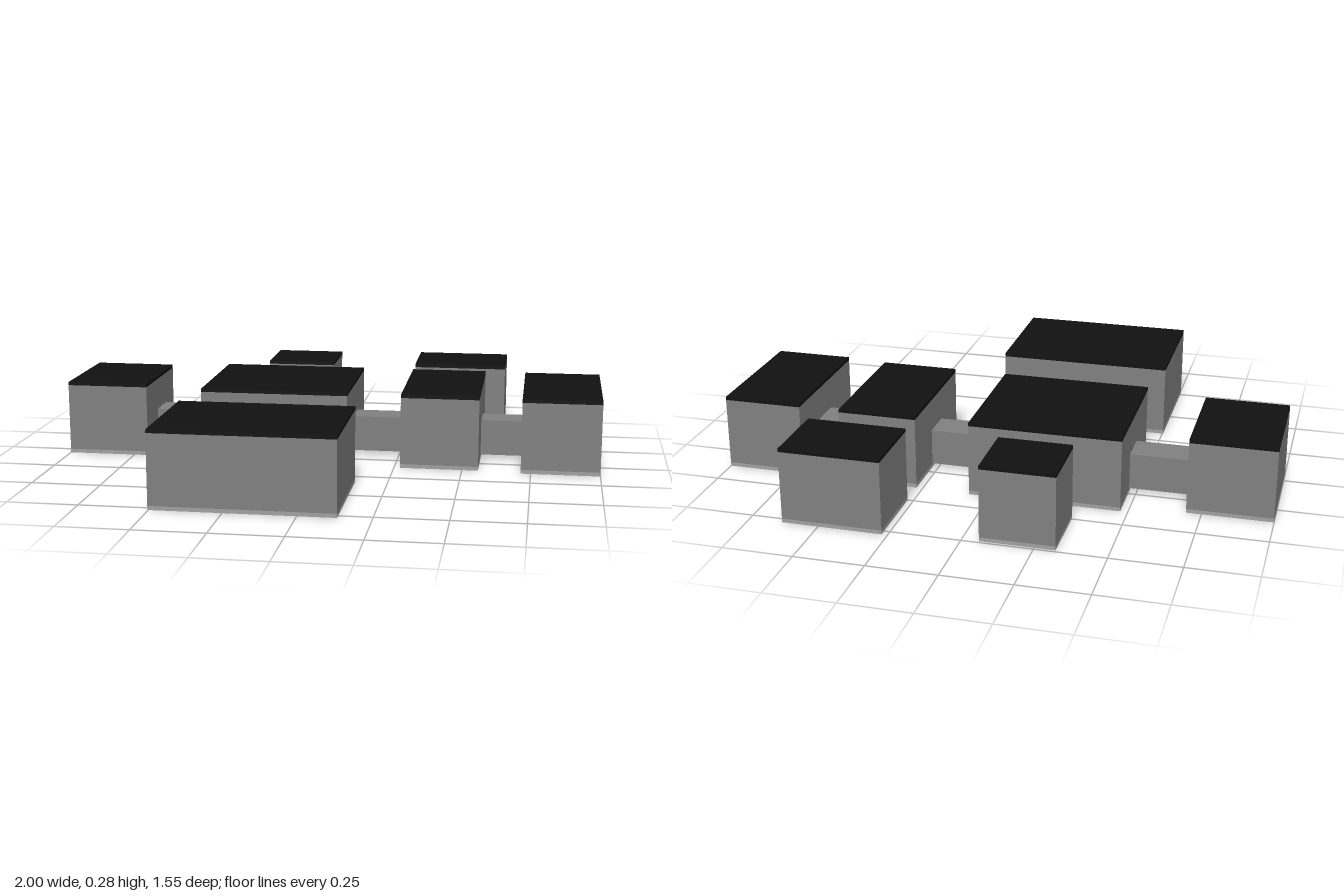
import * as THREE from 'three';

const FLOOR = 0.014, WALL_TOP = 0.263, ROOF_TOP = 0.275, CORRIDOR_TOP = 0.146;

// Footprints: [name, x min, x max, z min, z max]
const ROOMS = [
  ['centralRoom', -0.473, 0.075, -0.398, 0.102],
  ['rightRoom', -1, -0.696, -0.35, 0.053],
  ['frontRoom', -0.503, 0.134, 0.321, 0.775],
  ['backRoom', -0.323, -0.06, -0.74, -0.492],
  ['innerLeftRoom', 0.273, 0.559, -0.393, 0.104],
  ['outerLeftRoom', 0.714, 1, -0.385, 0.123],
  ['backLeftRoom', 0.271, 0.631, -0.775, -0.501],
];
const CORRIDORS = [
  ['rightCorridor', -0.696, -0.473, -0.232, -0.108],
  ['frontCorridor', -0.246, -0.145, 0.102, 0.321],
  ['backCorridor', -0.243, -0.14, -0.492, -0.398],
  ['innerLeftCorridor', 0.075, 0.273, -0.204, -0.086],
  ['outerLeftCorridor', 0.559, 0.714, -0.204, -0.086],
  ['backLeftCorridor', 0.348, 0.45, -0.501, -0.393],
];

export function createModel() {
  const model = new THREE.Group();
  model.name = 'roomComplex';
  const wallMat = new THREE.MeshStandardMaterial({ color: 0x808080 });
  const floorMat = new THREE.MeshStandardMaterial({ color: 0xa0a0a0 });
  const roofMat = new THREE.MeshStandardMaterial({ color: 0x111111 });

  // Box over a footprint between two heights
  const block = (name, [x0, x1, z0, z1], y0, y1, material) => {
    const mesh = new THREE.Mesh(new THREE.BoxGeometry(x1 - x0, y1 - y0, z1 - z0), material);
    mesh.position.set((x0 + x1) / 2, (y0 + y1) / 2, (z0 + z1) / 2);
    mesh.name = name;
    return mesh;
  };

  // Rooms: floor slab, walls and dark flat roof
  for (const [name, ...area] of ROOMS) {
    const room = new THREE.Group();
    room.name = name;
    room.add(
      block('floor', area, 0, FLOOR, floorMat),
      block('walls', area, FLOOR, WALL_TOP, wallMat),
      block('roof', area, WALL_TOP, ROOF_TOP, roofMat),
    );
    model.add(room);
  }

  // Low corridors joining the rooms
  for (const [name, ...area] of CORRIDORS) {
    model.add(block(name, area, FLOOR, CORRIDOR_TOP, wallMat));
  }
  return model;
}
